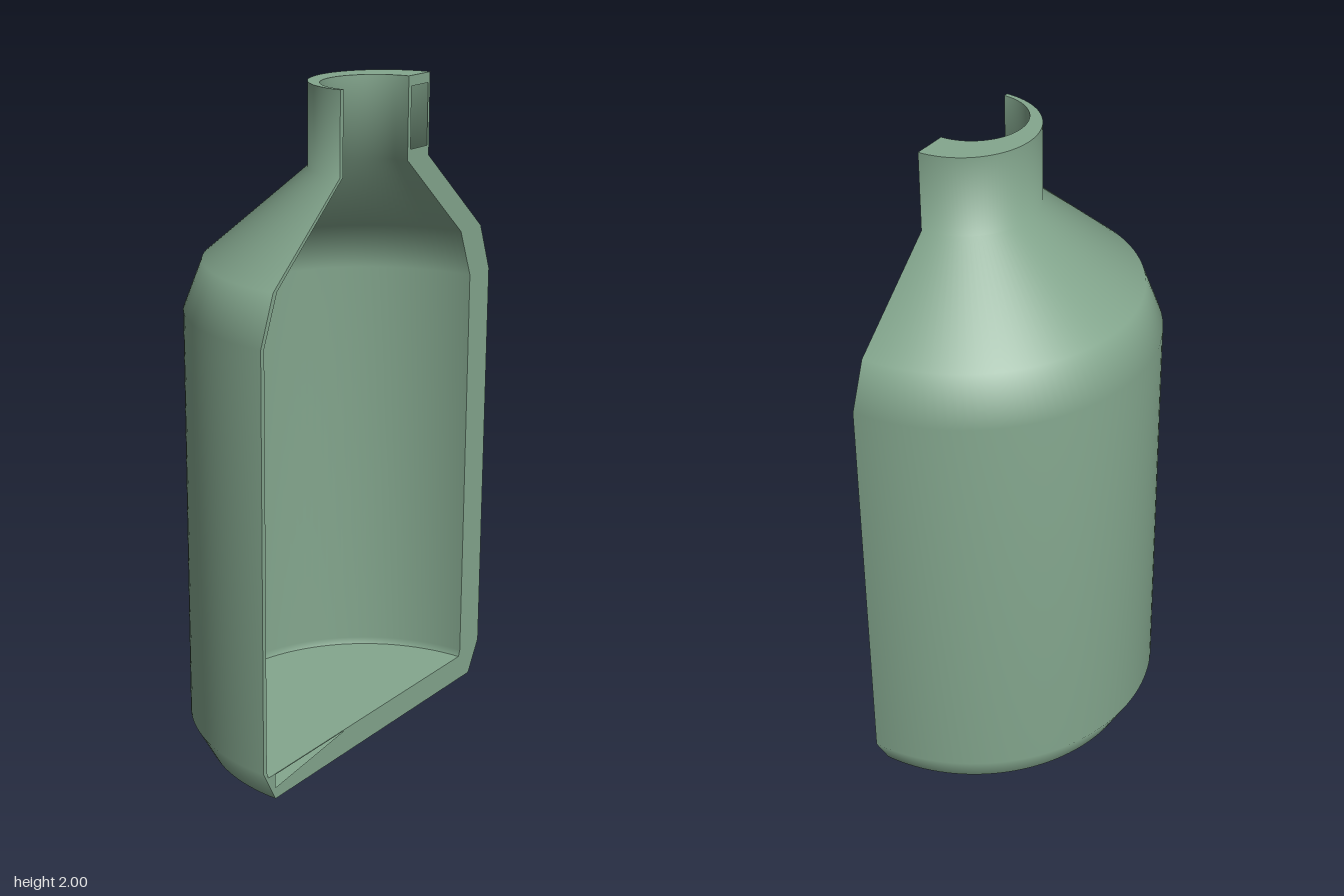
import * as THREE from 'three';

const CUT_Z = 0.2875;   // plane on which the bottle is sliced in half
const OFFSET = -0.0475; // the cavity sits off-centre, so one wall is thicker
const SEGMENTS = 64;

// Profiles as [radius, height], bottom to top
const OUTER = [[0.52, 0], [0.575, 0.1], [0.575, 1.355], [0.52, 1.5], [0.22, 1.76], [0.22, 2]];
const INNER = [[0.505, 0.08], [0.5125, 0.1], [0.5125, 1.355], [0.455, 1.5], [0.158, 1.76], [0.158, 2]];

export function createModel() {
  const group = new THREE.Group();
  const glass = new THREE.MeshStandardMaterial({ color: 0x84a78e, side: THREE.DoubleSide });
  glass.name = 'sage green';

  const add = (name, geometry, x = 0, y = 0, z = CUT_Z) => {
    const mesh = new THREE.Mesh(geometry, glass);
    mesh.name = name;
    mesh.position.set(x, y, z);
    group.add(mesh);
  };
  const halfLathe = (profile) => new THREE.LatheGeometry(
    profile.map(([r, y]) => new THREE.Vector2(r, y)), SEGMENTS, Math.PI / 2, Math.PI);
  const path = (points) => new THREE.Path(points.map(([x, y]) => new THREE.Vector2(x, y)));

  // Curved walls; the cavity profile is reversed so that it faces inwards
  add('outerWall', halfLathe(OUTER));
  add('innerWall', halfLathe([...INNER].reverse()), OFFSET);

  // Underside and cavity floor
  add('base', new THREE.CircleGeometry(OUTER[0][0], SEGMENTS, Math.PI, Math.PI).rotateX(Math.PI / 2));
  add('cavityFloor', new THREE.CircleGeometry(INNER[0][0], SEGMENTS, 0, Math.PI).rotateX(-Math.PI / 2),
    OFFSET, INNER[0][1]);

  // Crescent-shaped lip around the mouth
  const lip = new THREE.Shape();
  lip.absarc(0, 0, 0.22, 0, Math.PI, false);
  lip.absarc(OFFSET, 0, 0.158, Math.PI, 0, true);
  add('lip', new THREE.ShapeGeometry(lip, SEGMENTS / 2).rotateX(-Math.PI / 2), 0, 2);

  // Flat sliced face, following both profiles down one side and up the other
  const side = (profile, sign, shift) => profile.map(([r, y]) => [sign * r + shift, y]);
  const face = new THREE.Shape([
    ...side(OUTER, 1, 0),
    ...side(INNER, 1, OFFSET).reverse(),
    ...side(INNER, -1, OFFSET),
    ...side(OUTER, -1, 0).reverse(),
  ].map(([x, y]) => new THREE.Vector2(x, y)));

  // Openings in the sliced face: neck slot and wedge under the floor
  face.holes.push(
    path([[0.125, 1.79], [0.125, 1.97], [0.21, 1.97], [0.21, 1.79]]),
    path([[-0.52, 0.035], [-0.52, 0.077], [-0.18, 0.077]]),
  );
  add('slicedFace', new THREE.ShapeGeometry(face));

  return group;
}
